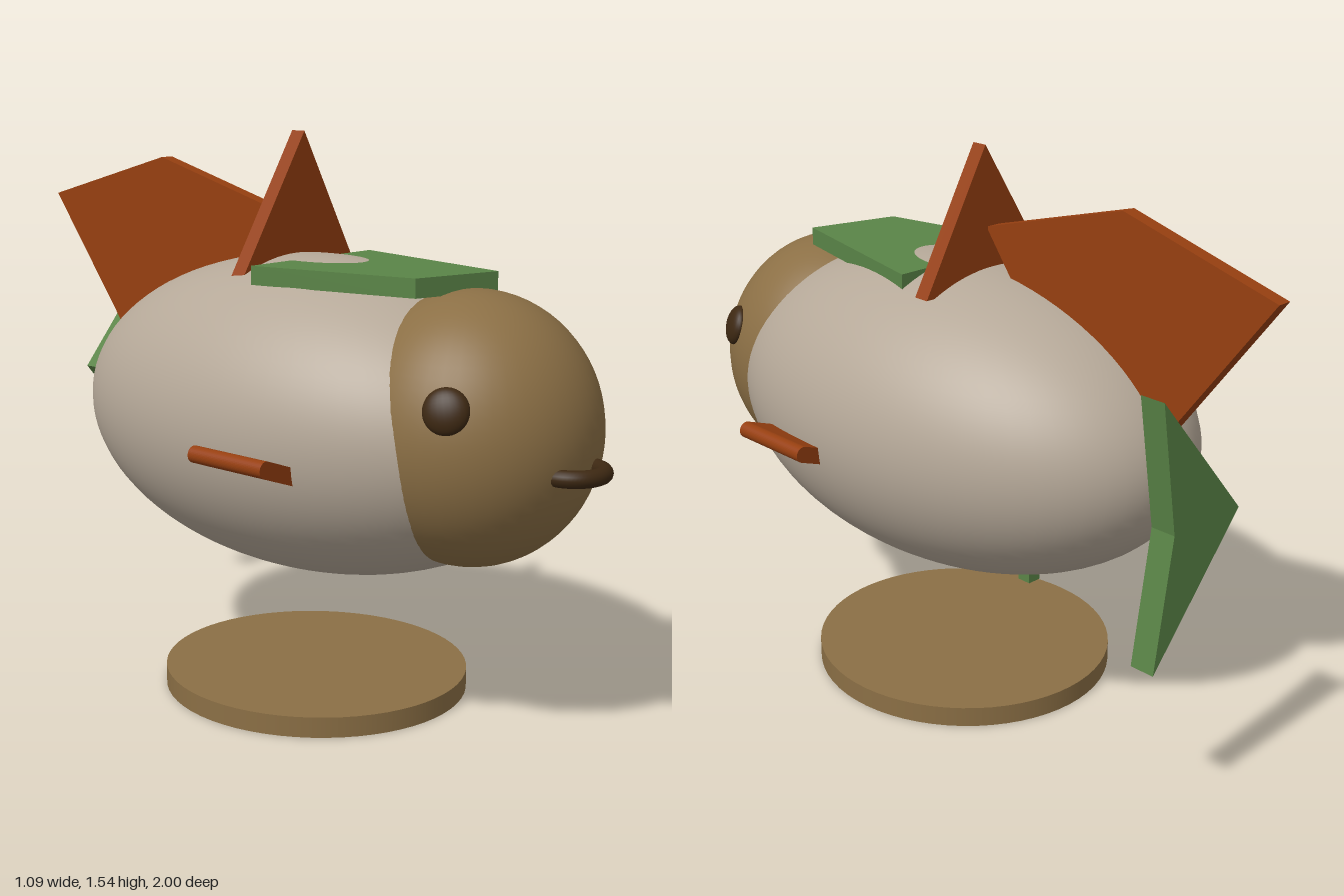
import * as THREE from 'three';

const paint = (name, color) => {
  const m = new THREE.MeshStandardMaterial({ color });
  m.name = name;
  return m;
};

// Flat plate from an outline, centred on its thickness
function plateGeometry(points, thickness) {
  const shape = new THREE.Shape(points.map(([x, y]) => new THREE.Vector2(x, y)));
  const g = new THREE.ExtrudeGeometry(shape, { depth: thickness, bevelEnabled: false });
  return g.translate(0, 0, -thickness / 2);
}

export function createModel() {
  const model = new THREE.Group();
  model.name = 'fish';
  const grey = paint('warm grey', 0xb5a898);
  const tan = paint('tan', 0x8b6f45);
  const rust = paint('rust', 0x963f10);
  const green = paint('green', 0x5a8447);
  const dark = paint('dark brown', 0x3d2812);

  const add = (name, geometry, material, x = 0, y = 0, z = 0) => {
    const mesh = new THREE.Mesh(geometry, material);
    mesh.name = name;
    mesh.position.set(x, y, z);
    model.add(mesh);
    return mesh;
  };

  // Body and head
  add('body', new THREE.SphereGeometry(1, 64, 48).scale(0.477, 0.43, 0.77), grey, 0, 0.785, 0.07);
  const headCentre = new THREE.Vector3(0, 0.815, 0.593);
  const headSize = new THREE.Vector3(0.335, 0.355, 0.335);
  add('head', new THREE.SphereGeometry(1, 48, 36).scale(...headSize.toArray()), tan, ...headCentre.toArray());

  // Stand
  add('base', new THREE.CylinderGeometry(1, 1, 0.056, 64).scale(0.418, 1, 0.43), tan, 0, 0.028, 0.062);

  // Mouth: half ring facing forward
  add('mouth', new THREE.TorusGeometry(0.08, 0.022, 14, 32, Math.PI).rotateX(Math.PI / 2), dark, 0, 0.752, 0.895);

  // Stadium section of the side fins, extruded along the body
  const finShape = new THREE.Shape();
  finShape.moveTo(-0.15, -0.022);
  finShape.lineTo(0.1, -0.022);
  finShape.absarc(0.1, 0, 0.022, -Math.PI / 2, Math.PI / 2, false);
  finShape.lineTo(-0.15, 0.022);
  const finGeometry = new THREE.ExtrudeGeometry(finShape, { depth: 0.25, bevelEnabled: false, curveSegments: 10 });

  for (const [side, s] of [['left', 1], ['right', -1]]) {
    // Eyes lie flat on the head surface
    const eye = add(side + 'Eye', new THREE.SphereGeometry(1, 24, 18).scale(0.058, 0.058, 0.028),
      dark, s * 0.285, 0.922, 0.728);
    const normal = eye.position.clone().sub(headCentre).divide(headSize).divide(headSize).normalize();
    eye.quaternion.setFromUnitVectors(new THREE.Vector3(0, 0, 1), normal);

    // Side fins tilt upward
    const fin = add(side + 'Fin', finGeometry, rust, s * 0.43, 0.728, s > 0 ? 0.12 : 0.37);
    fin.rotation.set(0, s > 0 ? 0 : Math.PI, 0.35);
  }

  // Upright triangular fin across the back
  add('crossFin', plateGeometry([[-0.21, 1.163], [0.24, 1.163], [0.03, 1.54]], 0.045), rust, 0, 0, -0.034);

  // Large kite-shaped fin along the middle
  add('rearFin', plateGeometry([[0.05, 1.32], [0.52, 0.69], [1, 1.32], [0.525, 1.45]], 0.04)
    .rotateY(Math.PI / 2), rust);

  // Back plate, with the body rising through it
  add('backPlate', plateGeometry([[-0.253, 0.06], [0.222, 0.06], [0.095, 0.595], [-0.158, 0.53]], 0.05)
    .rotateX(Math.PI / 2), green, 0, 1.181, 0);

  // Notched tail
  add('tail', plateGeometry([[0, 0.785], [0.297, 0.435], [0.24, 0.785], [0.297, 1.132]], 0.07),
    green, 0, 0, -0.872);

  // Small tip under the belly
  add('bellyTip', new THREE.BoxGeometry(0.04, 0.04, 0.04), green, 0.12, 0.438, -0.32);

  return model;
}
